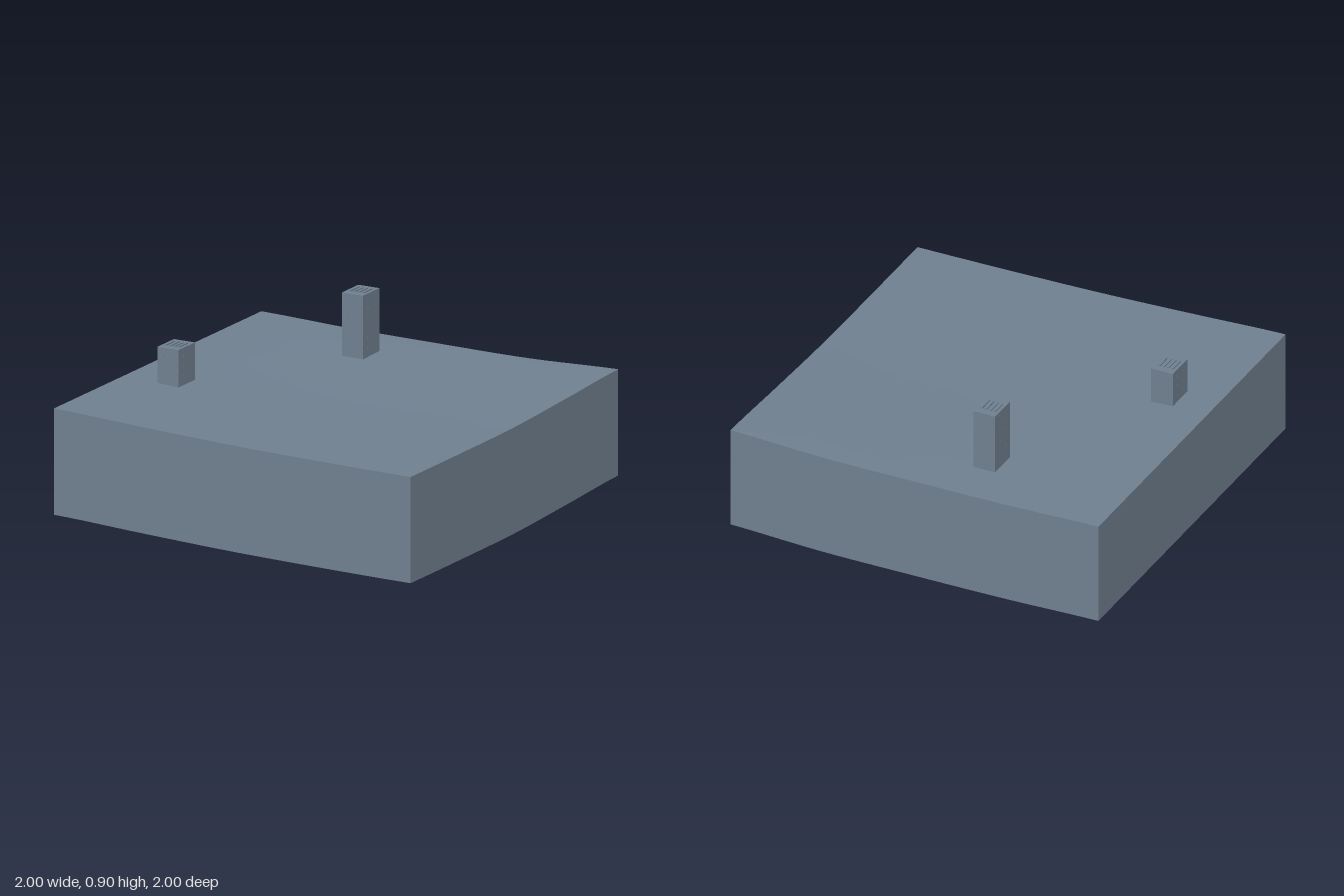
import * as THREE from 'three';

const DEPTH = 0.535; // height of the skirt walls
const SEG = 24;

// Smooth height profile through evenly spaced samples, u in -1..1
function profile(heights) {
  const curve = new THREE.SplineCurve(heights.map((h, i) => new THREE.Vector2(i, h)));
  return (u) => curve.getPoint((u + 1) / 2).y;
}

const front = profile([0.597, 0.574, 0.554, 0.543, 0.537]);
const back = profile([0.597, 0.582, 0.576, 0.574, 0.59]);
const left = profile([0.59, 0.565, 0.543, 0.538, 0.537]);
const right = () => 0.597;

// Ground height blended from the four edge profiles
function groundHeight(x, z) {
  const a = (x + 1) / 2, b = (z + 1) / 2;
  const acrossZ = (1 - b) * back(x) + b * front(x);
  const acrossX = (1 - a) * right(z) + a * left(z);
  const corners = (1 - b) * ((1 - a) * back(-1) + a * back(1))
    + b * ((1 - a) * front(-1) + a * front(1));
  return acrossZ + acrossX - corners;
}

export function createModel() {
  const model = new THREE.Group();
  model.name = 'terrainTile';
  const slate = new THREE.MeshStandardMaterial({ color: 0x708090, side: THREE.DoubleSide });
  slate.name = 'slate';

  function add(parent, geometry, name, x = 0, y = 0, z = 0) {
    const mesh = new THREE.Mesh(geometry, slate);
    mesh.name = name;
    mesh.position.set(x, y, z);
    parent.add(mesh);
    return mesh;
  }

  // Gently rolling ground
  const ground = new THREE.PlaneGeometry(2, 2, SEG, SEG).rotateX(-Math.PI / 2);
  const p = ground.attributes.position;
  for (let i = 0; i < p.count; i++) p.setY(i, groundHeight(p.getX(i), p.getZ(i)));
  ground.computeVertexNormals();
  add(model, ground, 'ground');

  // Skirt walls, open underneath, with lower edges that follow the ground
  const sides = [['frontWall', 0], ['leftWall', 1], ['backWall', 2], ['rightWall', 3]];
  for (const [name, turns] of sides) {
    const wall = new THREE.PlaneGeometry(2, 1, SEG, 1).translate(0, 0, 1).rotateY(turns * Math.PI / 2);
    const q = wall.attributes.position;
    for (let i = 0; i < q.count; i++) {
      const drop = q.getY(i) > 0 ? 0 : DEPTH;
      q.setY(i, groundHeight(q.getX(i), q.getZ(i)) - drop);
    }
    wall.computeVertexNormals();
    add(model, wall, name);
  }

  // Tower blocks with small ledges and roof ribs
  const W = 0.118, D = 0.158;
  function tower(name, x, z, top) {
    const group = new THREE.Group();
    group.name = name;
    const base = groundHeight(x, z) - 0.005;
    add(group, new THREE.BoxGeometry(W, top - base, D), 'block', x, (top + base) / 2, z);
    for (let i = 0; i < 4; i++) {
      add(group, new THREE.BoxGeometry(0.012, 0.006, 0.08), 'roofRib', x - 0.036 + i * 0.024, top + 0.003, z);
    }
    for (let y = base + 0.05; y < top - 0.02; y += 0.05) {
      for (const s of [-1, 1]) for (const c of [-0.03, 0.03]) {
        add(group, new THREE.BoxGeometry(0.008, 0.006, 0.003), 'ledge', x + c, y, z + s * D / 2);
        add(group, new THREE.BoxGeometry(0.003, 0.006, 0.008), 'ledge', x + s * W / 2, y, z + c);
      }
    }
    model.add(group);
  }
  tower('shortTower', -0.75, 0.25, 0.771);
  tower('tallTower', -0.25, -0.667, 0.891);

  return model;
}
